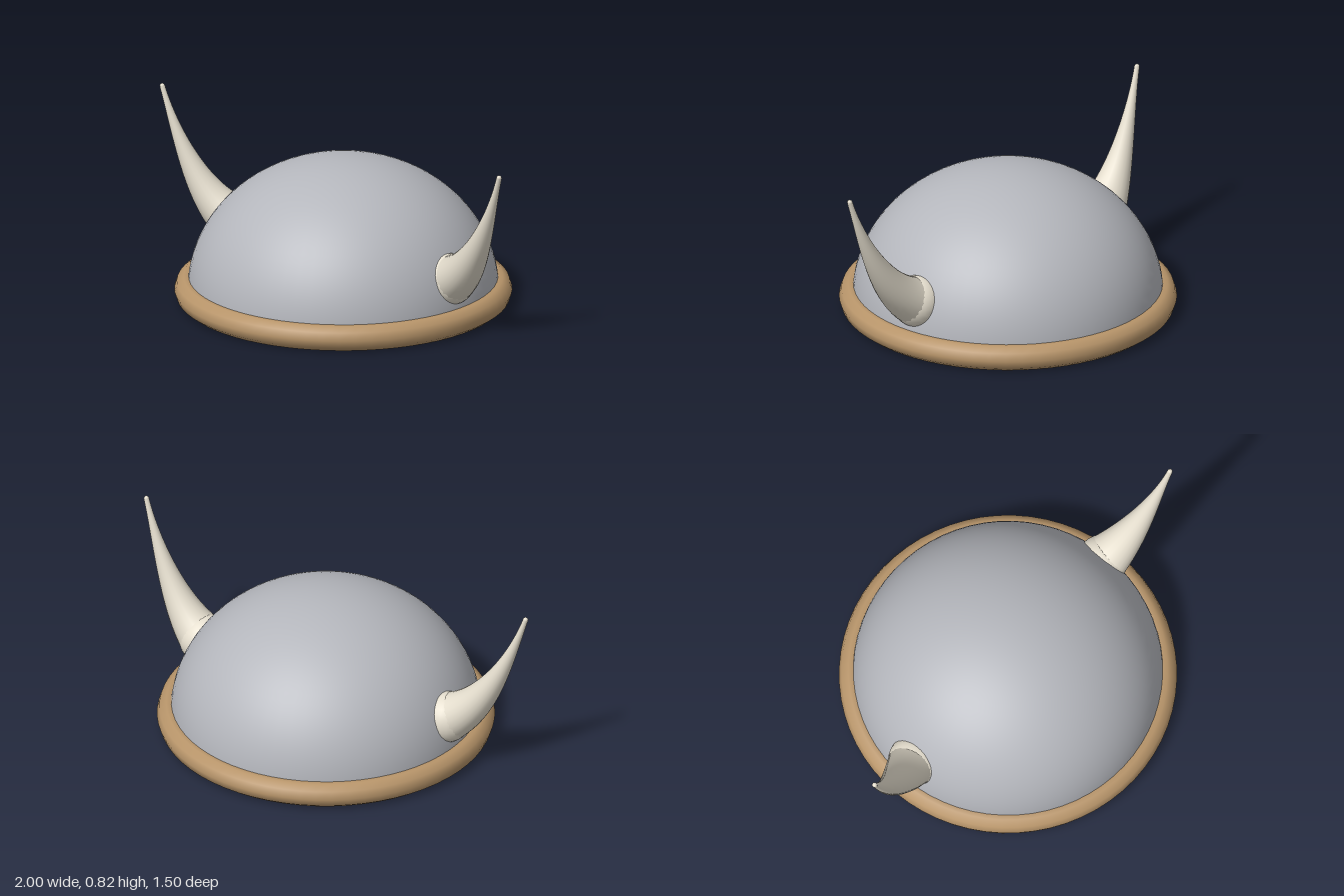
import * as THREE from 'three';

const material = (color, side = THREE.FrontSide) =>
  new THREE.MeshStandardMaterial({ color, side });

function part(parent, name, geometry, mat, x = 0, y = 0, z = 0) {
  const mesh = new THREE.Mesh(geometry, mat);
  mesh.name = name;
  mesh.position.set(x, y, z);
  parent.add(mesh);
  return mesh;
}

// Tube along a curve whose radius follows radiusAt(u)
function taperedTube(curve, radiusAt, steps, sides) {
  const geometry = new THREE.TubeGeometry(curve, steps, 1, sides);
  const pos = geometry.attributes.position;
  const v = new THREE.Vector3();
  for (let i = 0; i <= steps; i++) {
    const centre = curve.getPointAt(i / steps);
    const r = radiusAt(i / steps);
    for (let j = 0; j <= sides; j++) {
      const k = i * (sides + 1) + j;
      v.fromBufferAttribute(pos, k).sub(centre).multiplyScalar(r).add(centre);
      pos.setXYZ(k, v.x, v.y, v.z);
    }
  }
  return geometry;
}

export function createModel() {
  const helmet = new THREE.Group();
  helmet.name = 'hornedHelmet';

  const metal = material(0xb4b6bc, THREE.DoubleSide);
  const leather = material(0xb8956a);
  const bone = material(0xe6dfcf);
  const rimY = 0.06;

  // Flattened half-sphere shell, open underneath
  const dome = part(helmet, 'dome',
    new THREE.SphereGeometry(0.69, 64, 24, 0, Math.PI * 2, 0, Math.PI / 2), metal, 0, rimY, 0);
  dome.scale.y = 0.605 / 0.69;

  // Rolled rim
  const rim = part(helmet, 'rim', new THREE.TorusGeometry(0.69, 0.06, 10, 64), leather, 0, rimY, 0);
  rim.rotation.x = Math.PI / 2;

  // Strap running front to back inside the rim
  part(helmet, 'innerStrap', new THREE.BoxGeometry(0.055, 0.04, 1.3), leather, 0, rimY, 0);

  // Curved horns with a rounded root and tip
  const radiusAt = (u) => 0.012 + 0.103 * Math.pow(1 - u, 1.6);
  for (const side of [1, -1]) {
    const horn = new THREE.Group();
    horn.name = side > 0 ? 'leftHorn' : 'rightHorn';
    const root = new THREE.Vector3(side * 0.63, 0.24, 0);
    const tip = new THREE.Vector3(side * 0.988, 0.812, 0.085);
    const curve = new THREE.QuadraticBezierCurve3(
      root, new THREE.Vector3(side * 0.84, 0.34, 0.05), tip);
    part(horn, 'hornBody', taperedTube(curve, radiusAt, 28, 24), bone);
    part(horn, 'hornRoot', new THREE.SphereGeometry(0.115, 24, 16), bone, ...root.toArray());
    part(horn, 'hornTip', new THREE.SphereGeometry(0.012, 12, 8), bone, ...tip.toArray());
    helmet.add(horn);
  }
  return helmet;
}
